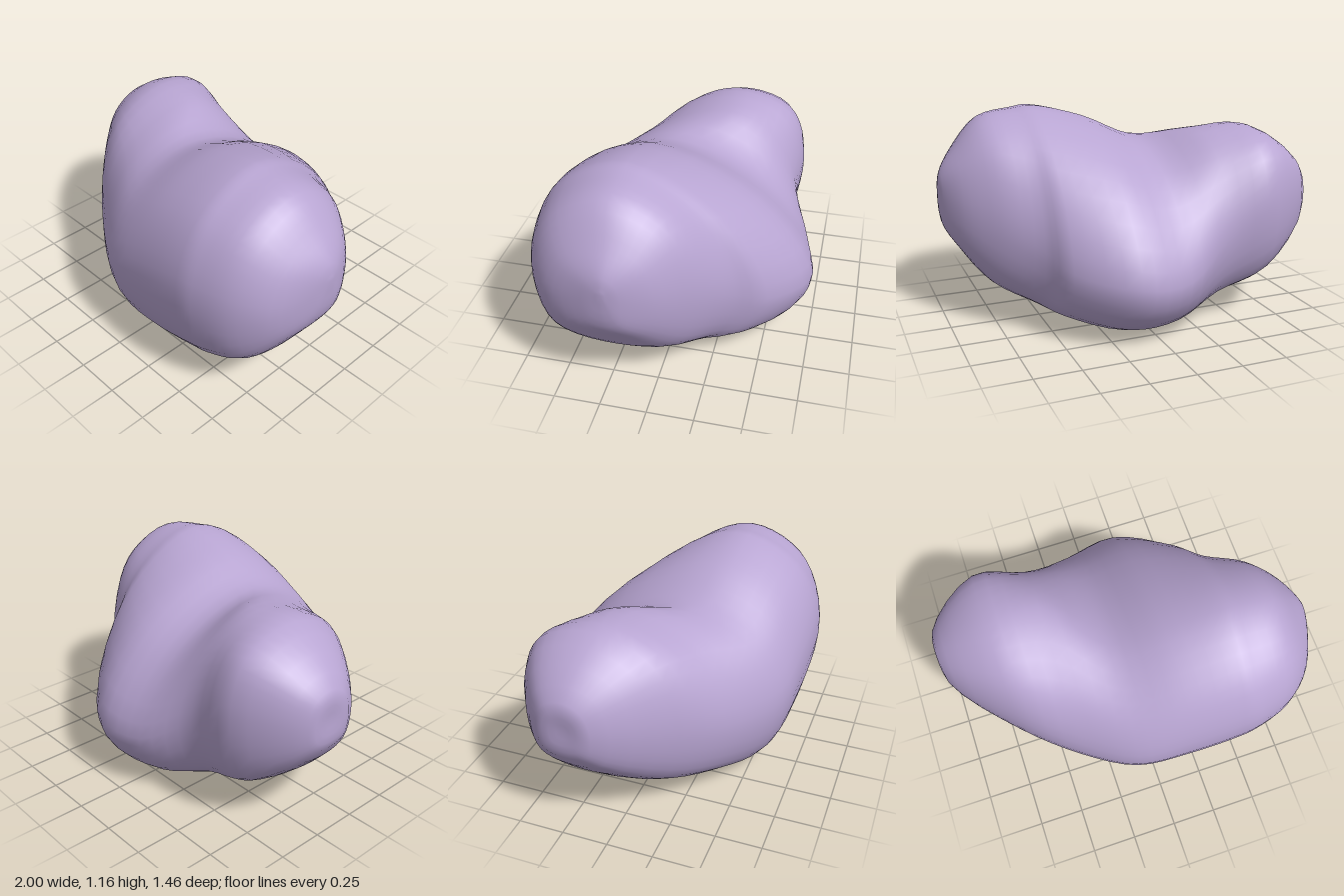
import * as THREE from 'three';
import { mergeVertices } from 'three/addons/utils/BufferGeometryUtils.js';

// Slices along x: x, then (z, y) of the top, front, bottom and back, then fullness of the upper back
const slices = [
  [-0.99, -0.2, 0.8, -0.06, 0.63, -0.2, 0.48, -0.35, 0.64, 0.75],
  [-0.69, -0.14, 1.03, 0.28, 0.56, -0.1, 0.18, -0.57, 0.66, 0.76],
  [-0.4, -0.16, 1.02, 0.51, 0.48, 0.05, 0.07, -0.57, 0.5, 0.68],
  [-0.12, 0.13, 0.96, 0.67, 0.47, 0.08, 0, -0.69, 0.33, 0.67],
  [0.17, 0.18, 1.08, 0.71, 0.56, 0.08, 0, -0.73, 0.34, 0.65],
  [0.46, 0.2, 1.15, 0.72, 0.64, 0.12, 0.07, -0.53, 0.4, 0.65],
  [0.56, 0.2, 1.14, 0.71, 0.65, 0.15, 0.1, -0.37, 0.48, 0.67],
  [0.75, 0.22, 1.1, 0.65, 0.65, 0.2, 0.19, -0.2, 0.6, 0.7],
  [0.9, 0.2, 0.94, 0.52, 0.64, 0.2, 0.38, -0.04, 0.65, 0.71],
  [0.98, 0.2, 0.82, 0.31, 0.68, 0.2, 0.52, 0.11, 0.68, 0.71],
];

const AROUND = 40, STEPS = 4, UPPER_FRONT = 0.7, LOWER = 0.8;

// Smooth closed ring through the four extremes and the rounded corners between them
function ring([x, topZ, topY, frontZ, frontY, bottomZ, bottomY, backZ, backY, upperBack]) {
  const point = (z, y) => new THREE.Vector3(x, y, z);
  const corner = (midZ, midY, z, y, full) => point(midZ, midY).lerp(point(z, y), full);
  const curve = new THREE.CatmullRomCurve3([
    point(topZ, topY), corner(topZ, frontY, frontZ, topY, UPPER_FRONT),
    point(frontZ, frontY), corner(bottomZ, frontY, frontZ, bottomY, LOWER),
    point(bottomZ, bottomY), corner(bottomZ, backY, backZ, bottomY, LOWER),
    point(backZ, backY), corner(topZ, backY, backZ, topY, upperBack),
  ], true);
  return Array.from({ length: AROUND }, (_, j) => curve.getPoint(j / AROUND));
}

function lumpGeometry() {
  // The rings close to a single point at either end
  const pole = (x, y, z) => Array.from({ length: AROUND }, () => new THREE.Vector3(x, y, z));
  const rings = [pole(-1, 0.64, -0.2), ...slices.map(ring), pole(1, 0.73, 0.2)];
  const rows = (rings.length - 1) * STEPS;
  const position = [], index = [];
  // Smooth lengthwise curve for each column of ring points
  const columns = Array.from({ length: AROUND }, (_, j) =>
    new THREE.CatmullRomCurve3(rings.map((r) => r[j])));
  for (let i = 0; i <= rows; i++)
    for (const c of columns) position.push(...c.getPoint(i / rows).toArray());
  for (let i = 0; i < rows; i++) {
    for (let j = 0; j < AROUND; j++) {
      const k = (j + 1) % AROUND;
      const a = i * AROUND + j, b = i * AROUND + k, c = a + AROUND, d = b + AROUND;
      if (i > 0) index.push(a, b, c);
      if (i < rows - 1) index.push(b, d, c);
    }
  }
  const g = new THREE.BufferGeometry();
  g.setAttribute('position', new THREE.Float32BufferAttribute(position, 3));
  g.setIndex(index);
  const merged = mergeVertices(g, 1e-4);
  merged.computeVertexNormals();
  return merged;
}

export function createModel() {
  const lavender = new THREE.MeshStandardMaterial({ color: 0xb8a5d2 });
  lavender.name = 'lavender';
  const body = new THREE.Mesh(lumpGeometry(), lavender);
  body.name = 'lumpyBody';
  const group = new THREE.Group();
  group.name = 'lump';
  group.add(body);
  return group;
}
